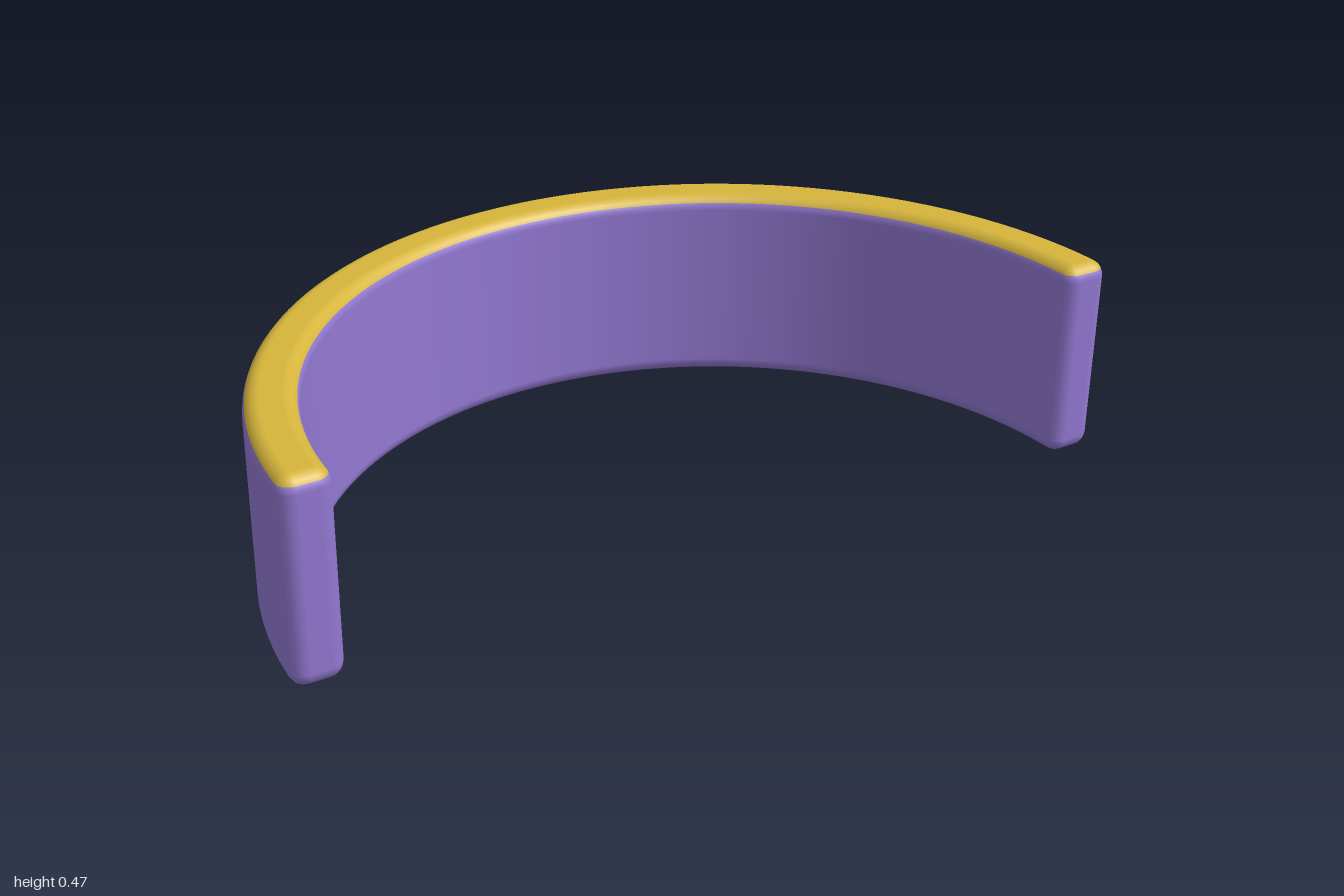
import * as THREE from 'three';

const OUTER = 1, INNER = 0.885, HEIGHT = 0.47, ROUND = 0.035, Z0 = 0.5;
const ARC_STEPS = 64, CORNER_STEPS = 4;

// Plan outline of the half ring: core points plus outward directions, so any rounding is core + direction * offset
function planOutline() {
  const pts = [];
  const add = (radius, t, dir) => pts.push({
    x: radius * Math.cos(t), z: Z0 - radius * Math.sin(t),
    nx: Math.cos(dir), nz: -Math.sin(dir),
  });
  const corner = (radius, t, from, to) => {
    for (let i = 0; i <= CORNER_STEPS; i++) add(radius, t, from + (to - from) * i / CORNER_STEPS);
  };
  const ro = OUTER - ROUND, ri = INNER + ROUND;
  const a = Math.asin(ROUND / ro), b = Math.asin(ROUND / ri);
  // outer wall, with the rounded corner at each end
  corner(ro, a, -Math.PI / 2, a);
  for (let i = 1; i < ARC_STEPS; i++) {
    const t = a + (Math.PI - 2 * a) * i / ARC_STEPS;
    add(ro, t, t);
  }
  corner(ro, Math.PI - a, Math.PI - a, Math.PI * 1.5);
  // inner wall, back the other way
  corner(ri, Math.PI - b, Math.PI * 1.5, 2 * Math.PI - b);
  for (let i = ARC_STEPS - 1; i > 0; i--) {
    const t = b + (Math.PI - 2 * b) * i / ARC_STEPS;
    add(ri, t, t + Math.PI);
  }
  corner(ri, b, Math.PI + b, Math.PI * 1.5);
  return pts;
}

// Stack the outline through [base height, slope in degrees] layers, with optional flat caps
function stack(outline, layers, capBottom, capTop) {
  const n = outline.length, pos = [], nor = [], idx = [];
  for (const [y, deg] of layers) {
    const c = Math.cos(deg * Math.PI / 180), s = Math.sin(deg * Math.PI / 180);
    for (const p of outline) {
      pos.push(p.x + p.nx * ROUND * c, y + ROUND * s, p.z + p.nz * ROUND * c);
      nor.push(p.nx * c, s, p.nz * c);
    }
  }
  for (let j = 0; j < layers.length - 1; j++) {
    for (let i = 0; i < n; i++) {
      const k = (i + 1) % n, lo = j * n, hi = lo + n;
      idx.push(lo + i, lo + k, hi + i, lo + k, hi + k, hi + i);
    }
  }
  const top = (layers.length - 1) * n;
  for (let i = 0; i < n / 2 - 1; i++) {
    const p = i, q = i + 1, r = n - 2 - i, s = n - 1 - i;
    if (capTop) idx.push(top + p, top + q, top + r, top + p, top + r, top + s);
    if (capBottom) idx.push(p, r, q, p, s, r);
  }
  const g = new THREE.BufferGeometry();
  g.setAttribute('position', new THREE.Float32BufferAttribute(pos, 3));
  g.setAttribute('normal', new THREE.Float32BufferAttribute(nor, 3));
  g.setIndex(idx);
  return g;
}

export function createModel() {
  const purple = new THREE.MeshStandardMaterial({ color: 0x9379d3 });
  purple.name = 'purple';
  const gold = new THREE.MeshStandardMaterial({ color: 0xd6b53c });
  gold.name = 'gold';

  const outline = planOutline();
  const lo = ROUND, hi = HEIGHT - ROUND;
  const group = new THREE.Group();
  group.name = 'halfRing';

  // curved wall with rounded bottom edge
  const wall = new THREE.Mesh(
    stack(outline, [[lo, -90], [lo, -67.5], [lo, -45], [lo, -22.5], [lo, 0], [hi, 0], [hi, 15], [hi, 30]], true, false), purple);
  wall.name = 'curvedWall';

  // rounded top rim
  const rim = new THREE.Mesh(
    stack(outline, [[hi, 30], [hi, 45], [hi, 60], [hi, 75], [hi, 90]], false, true), gold);
  rim.name = 'topRim';

  group.add(wall, rim);
  return group;
}
